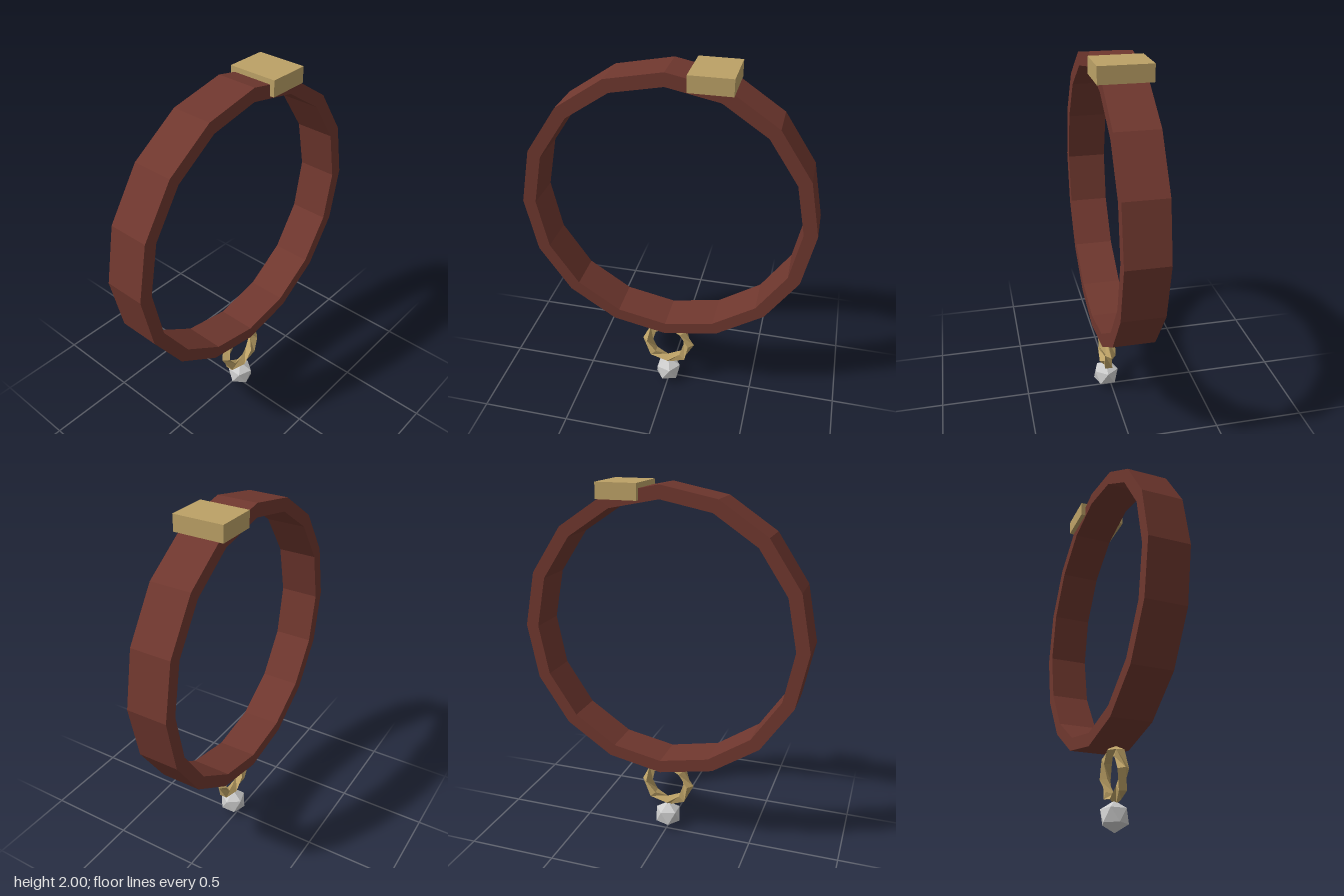
import * as THREE from 'three';
import { ConvexGeometry } from 'three/addons/geometries/ConvexGeometry.js';

const material = (name, color) => {
  const m = new THREE.MeshStandardMaterial({ color, flatShading: true });
  m.name = name;
  return m;
};

// Regular polygon with a corner on the +x axis
const polygon = (radius, sides) => Array.from({ length: sides }, (_, i) => {
  const a = (i / sides) * Math.PI * 2;
  return new THREE.Vector2(radius * Math.cos(a), radius * Math.sin(a));
});

export function createModel() {
  const group = new THREE.Group();
  const leather = material('leather', 0x6f372e);
  const brass = material('brass', 0xbca166);
  const silver = material('silver', 0xcccccc);

  const add = (name, geometry, mat, x, y, z) => {
    const mesh = new THREE.Mesh(geometry, mat);
    mesh.name = name;
    mesh.position.set(x, y, z);
    group.add(mesh);
    return mesh;
  };

  // Sixteen-sided strap
  const outline = new THREE.Shape(polygon(0.785, 16));
  outline.holes.push(new THREE.Path(polygon(0.714, 16).reverse()));
  const strap = new THREE.ExtrudeGeometry(outline, { depth: 0.22, bevelEnabled: false });
  strap.translate(0, 0, -0.11);
  add('strap', strap, leather, 0, 1.21, 0);

  // Buckle block, set off to one side of the top
  add('buckle', new THREE.BoxGeometry(0.222, 0.085, 0.27), brass, 0.222, 1.9575, 0);

  // Hanging ring: a square wire that turns once along the loop
  const R = 0.125, r = 0.031, sides = 4, steps = 8;
  const ring = new THREE.TorusGeometry(R, r, sides, steps);
  const pos = ring.attributes.position;
  for (let j = 0, n = 0; j <= sides; j++) {
    for (let i = 0; i <= steps; i++, n++) {
      const u = (i / steps) * Math.PI * 2;
      const v = (j / sides) * Math.PI * 2 + u;
      const d = R + r * Math.cos(v);
      pos.setXYZ(n, d * Math.cos(u), d * Math.sin(u), r * Math.sin(v));
    }
  }
  ring.computeVertexNormals();
  add('hangingRing', ring, brass, 0, 0.292, 0.028).rotation.x = -0.06;

  // Twenty-faced bead with a corner at top and bottom
  const b = 0.08, h = b / Math.sqrt(5);
  const points = [new THREE.Vector3(0, b, 0), new THREE.Vector3(0, -b, 0)];
  for (const p of polygon(2 * h, 5)) {
    points.push(new THREE.Vector3(p.x, h, p.y), new THREE.Vector3(-p.x, -h, -p.y));
  }
  add('bead', new ConvexGeometry(points), silver, 0, 0.08, 0.03);

  return group;
}
